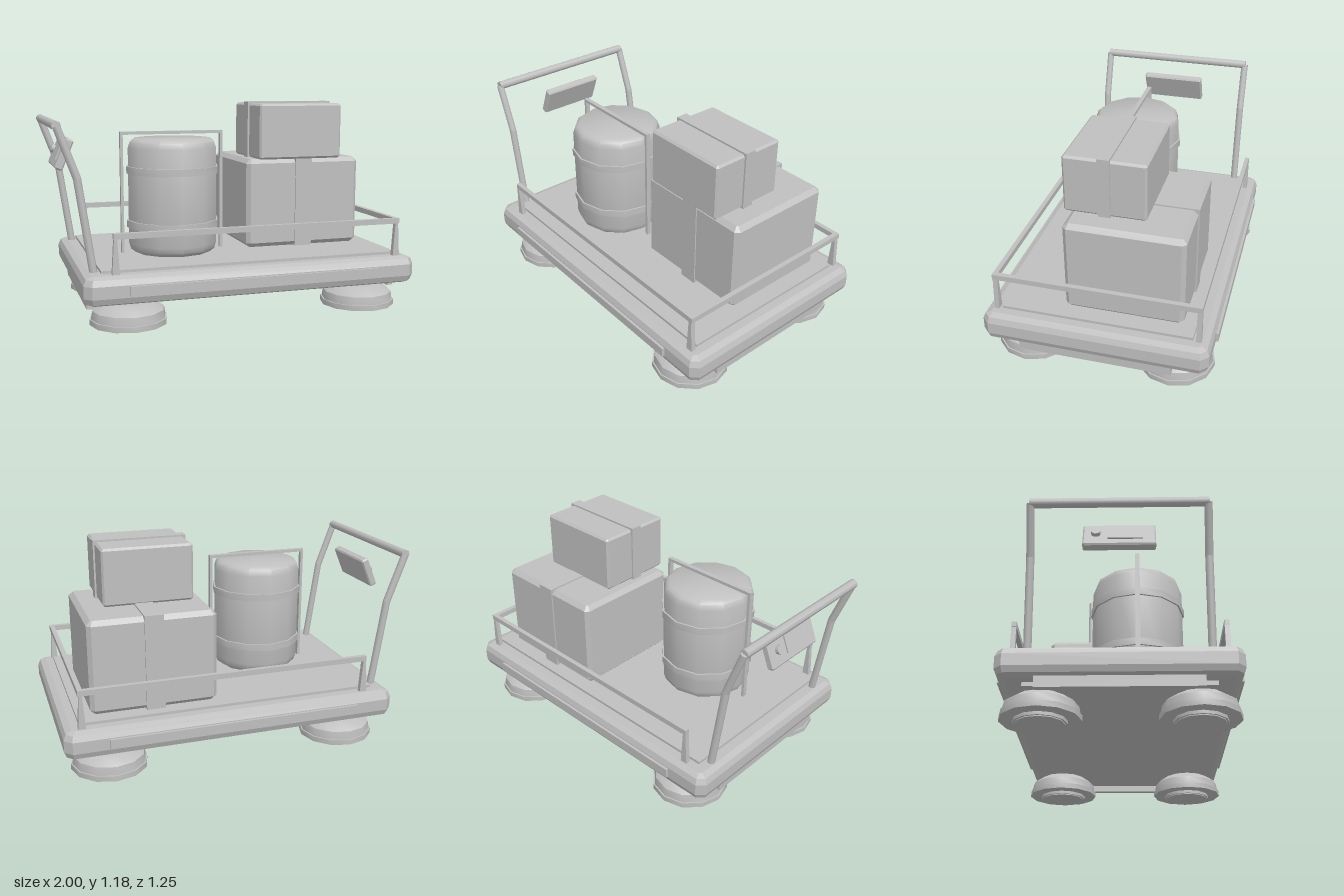
import * as THREE from 'three';
import { toCreasedNormals } from 'three/addons/utils/BufferGeometryUtils.js';

const grey = new THREE.MeshStandardMaterial({ color: 0xbfbfbf });
grey.name = 'plain grey';

export function createModel() {
  const model = new THREE.Group();
  model.name = 'cargoTrolley';

  const add = (name, geometry, parent = model) => {
    const mesh = new THREE.Mesh(geometry, grey);
    mesh.name = name;
    parent.add(mesh);
    return mesh;
  };

  // Plain box given by its limits on each axis
  const box = (name, x0, x1, y0, y1, z0, z1, parent) => {
    const g = new THREE.BoxGeometry(x1 - x0, y1 - y0, z1 - z0);
    g.translate((x0 + x1) / 2, (y0 + y1) / 2, (z0 + z1) / 2);
    return add(name, g, parent);
  };

  // Box with bevelled edges and cut corners
  const bevelBox = (name, x0, x1, y0, y1, z0, z1, b, segments = 1, parent = model) => {
    const w = (x1 - x0) / 2 - b, d = (z1 - z0) / 2 - b, c = b * 0.3;
    const s = new THREE.Shape([
      [w, -d + c], [w, d - c], [w - c, d], [-w + c, d],
      [-w, d - c], [-w, -d + c], [-w + c, -d], [w - c, -d],
    ].map(([x, y]) => new THREE.Vector2(x, y)));
    const g = new THREE.ExtrudeGeometry(s, {
      depth: y1 - y0 - 2 * b, bevelEnabled: true, bevelSize: b, bevelThickness: b, bevelSegments: segments,
    });
    g.rotateX(-Math.PI / 2);
    g.translate((x0 + x1) / 2, y0 + b, (z0 + z1) / 2);
    return add(name, g, parent);
  };

  const lathe = (name, profile, x, z, segments = 12) => {
    const points = profile.map(([r, y]) => new THREE.Vector2(r, y));
    const g = toCreasedNormals(new THREE.LatheGeometry(points, segments), 0.7);
    g.translate(x, 0, z);
    return add(name, g);
  };

  // Round bar between two points
  const bar = (name, a, b, r) => {
    const p = new THREE.Vector3(...a), q = new THREE.Vector3(...b);
    const dir = q.clone().sub(p);
    const mesh = add(name, new THREE.CylinderGeometry(r, r, dir.length(), 8));
    mesh.position.copy(p).add(q).multiplyScalar(0.5);
    mesh.quaternion.setFromUnitVectors(new THREE.Vector3(0, 1, 0), dir.normalize());
    return mesh;
  };

  // Deck, top mat, under plate and bumpers
  bevelBox('deck', -0.87, 1, 0.165, 0.32, -0.61, 0.61, 0.045, 2);
  box('topMat', -0.77, 0.91, 0.31, 0.335, -0.515, 0.515);
  box('underPlate', -0.77, 0.91, 0.143, 0.17, -0.48, 0.48);
  box('handleEndBumper', -0.835, -0.8, 0.11, 0.175, -0.415, 0.415);
  box('farEndBumper', 0.93, 0.965, 0.11, 0.175, -0.415, 0.415);

  // Hover pads under the four corners
  for (const x of [-0.61, 0.74]) for (const z of [-0.4, 0.4]) {
    lathe('hoverPad', [[0, 0.005], [0.14, 0.005], [0.14, 0.022], [0.21, 0.022], [0.21, 0.052],
      [0.202, 0.052], [0.195, 0.097], [0.135, 0.138], [0.07, 0.138], [0.07, 0.168]], x, z);
  }
  // Foot discs touch the ground
  for (const x of [-0.61, 0.74]) for (const z of [-0.4, 0.4]) {
    const foot = add('padFoot', new THREE.CylinderGeometry(0.13, 0.13, 0.01, 12));
    foot.position.set(x, 0.005, z);
  }

  // Side strips, side rails and posts, mirrored
  const postShape = new THREE.Shape([[-0.02, 0], [0.02, 0], [0.008, 0.19], [-0.008, 0.19]]
    .map(([x, y]) => new THREE.Vector2(x, y)));
  for (const s of [-1, 1]) {
    const z = 0.545 * s;
    box('sideStrip', -0.64, 0.77, 0.218, 0.27, s * 0.615 - 0.01, s * 0.615 + 0.01);
    box('sideRail', -0.71, 0.915, 0.503, 0.533, z - 0.013, z + 0.013);
    for (const x of [-0.7, 0.9]) {
      const g = new THREE.ExtrudeGeometry(postShape, { depth: 0.026, bevelEnabled: false });
      add('railPost', g).position.set(x, 0.318, z - 0.013);
    }
  }
  box('endRail', 0.888, 0.915, 0.503, 0.533, -0.55, 0.55);

  // Push handle
  for (const s of [-1, 1]) {
    const foot = [-0.8, 0.31, 0.455 * s], bend = [-0.873, 0.81, 0.455 * s], top = [-0.97, 1.075, 0.455 * s];
    bar('handleLowerPost', foot, bend, 0.021);
    bar('handleUpperPost', bend, top, 0.021);
    add('handleElbow', new THREE.SphereGeometry(0.021, 8, 6)).position.set(...bend);
  }
  bar('handleGrip', [-0.97, 1.077, -0.46], [-0.97, 1.077, 0.46], 0.025);

  // Control panel between the handle posts, facing the pusher
  const panel = new THREE.Group();
  panel.name = 'controlPanel';
  panel.position.set(-0.903, 0.908, 0);
  panel.rotation.z = -0.4;
  model.add(panel);
  bevelBox('panelBody', -0.022, 0.022, -0.088, 0.088, -0.187, 0.185, 0.008, 1, panel);
  box('panelScreen', -0.03, -0.02, -0.045, 0.05, -0.06, 0.12, panel);
  const knob = add('panelKnob', new THREE.CylinderGeometry(0.024, 0.024, 0.025, 10), panel);
  knob.rotation.z = Math.PI / 2;
  knob.position.set(-0.03, 0, -0.12);

  // Barrel with two bands and a tie-down hoop
  const bx = -0.285, bz = 0.09;
  lathe('barrel', [[0, 0.335], [0.22, 0.335], [0.245, 0.355], [0.256, 0.39], [0.256, 0.93],
    [0.245, 0.963], [0.222, 0.98], [0, 0.98]], bx, bz);
  for (const y of [0.5, 0.805]) {
    lathe('barrelBand', [[0.25, y - 0.02], [0.266, y - 0.02], [0.266, y + 0.02], [0.25, y + 0.02]], bx, bz);
  }
  for (const x of [-0.578, 0.003]) box('hoopPost', x - 0.008, x + 0.008, 0.335, 1.02, bz - 0.013, bz + 0.013);
  box('hoopTop', -0.586, 0.011, 1.003, 1.02, bz - 0.013, bz + 0.013);

  // Large crate with a strap
  bevelBox('largeCrate', 0.135, 0.835, 0.335, 0.852, -0.45, 0.19, 0.025);
  box('largeCrateStrap', 0.432, 0.535, 0.335, 0.86, -0.458, 0.197);

  // Small crate on top with a strap
  bevelBox('smallCrate', 0.2, 0.705, 0.852, 1.17, -0.22, 0.22, 0.012);
  box('smallCrateStrap', 0.19, 0.715, 0.852, 1.18, -0.032, 0.033);

  return model;
}
